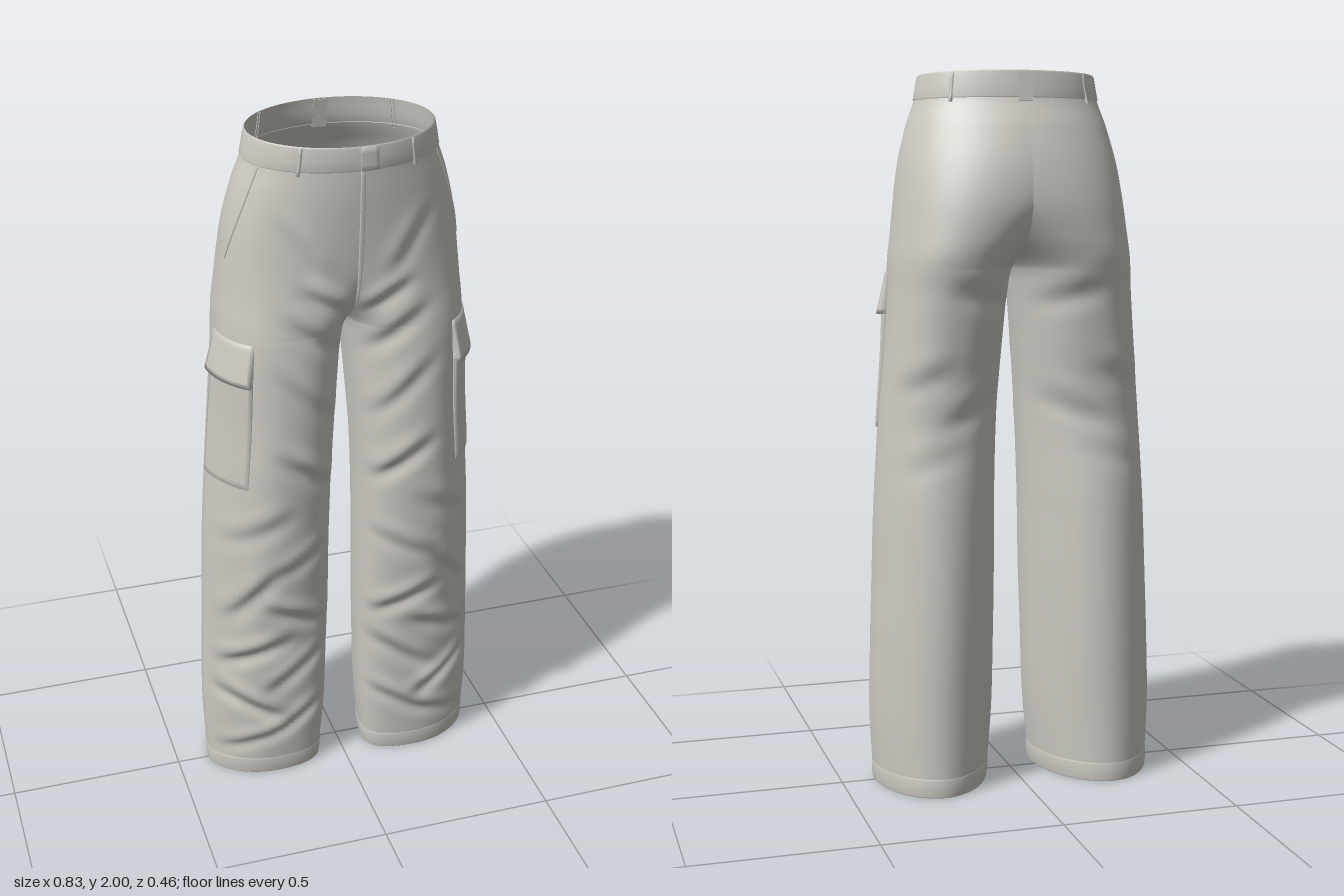
import * as THREE from 'three';

// Leg sections: height, outer x, inner x (negative = the two sides merge), front z, back z, squareness
const SECTIONS = [
  [0.00, 0.405, 0.074, 0.125, -0.210, 1.9],
  [0.20, 0.415, 0.056, 0.138, -0.206, 1.9],
  [0.40, 0.411, 0.050, 0.152, -0.203, 1.9],
  [0.60, 0.404, 0.046, 0.177, -0.195, 1.9],
  [0.80, 0.396, 0.045, 0.198, -0.180, 1.95],
  [1.05, 0.379, 0.038, 0.214, -0.152, 2.1],
  [1.25, 0.360, 0.025, 0.215, -0.172, 2.2],
  [1.40, 0.348, 0.011, 0.212, -0.190, 2.2],
  [1.46, 0.345, 0.000, 0.208, -0.203, 2.2],
  [1.50, 0.342, -0.030, 0.206, -0.214, 2.2],
  [1.55, 0.336, -0.085, 0.205, -0.222, 2.2],
  [1.65, 0.325, -0.200, 0.207, -0.228, 2.2],
  [1.75, 0.312, -0.265, 0.213, -0.215, 2.1],
  [1.85, 0.288, -0.275, 0.219, -0.183, 2.0],
  [1.93, 0.262, -0.262, 0.220, -0.145, 2.0],
  [2.00, 0.250, -0.250, 0.220, -0.134, 2.0],
];

// Cloth folds: x0, y0, x1, y1, depth, width (front first, then back)
const FRONT_FOLDS = [
  [0.03, 1.53, 0.14, 1.60, 0.010, 0.025], [0.03, 1.40, 0.18, 1.52, 0.012, 0.03],
  [0.10, 1.64, 0.19, 1.78, 0.007, 0.03], [0.05, 1.20, 0.20, 1.36, 0.010, 0.03],
  [0.06, 1.00, 0.20, 1.12, 0.016, 0.03], [0.36, 0.84, 0.20, 0.94, 0.010, 0.035],
  [0.07, 0.82, 0.22, 0.74, 0.010, 0.03], [0.36, 0.58, 0.24, 0.74, 0.016, 0.03],
  [0.08, 0.54, 0.24, 0.62, 0.016, 0.03], [0.37, 0.42, 0.20, 0.50, 0.020, 0.03],
  [0.08, 0.44, 0.24, 0.32, 0.016, 0.028], [0.38, 0.32, 0.22, 0.22, 0.020, 0.028],
  [0.09, 0.24, 0.24, 0.14, 0.016, 0.025], [0.37, 0.10, 0.22, 0.16, 0.012, 0.025],
];
const BACK_FOLDS = [
  [0.04, 1.38, 0.20, 1.42, 0.010, 0.04], [0.06, 1.12, 0.24, 1.04, 0.008, 0.04],
  [0.35, 1.14, 0.22, 1.20, 0.007, 0.04], [0.34, 0.92, 0.18, 0.98, 0.004, 0.04],
];

const INNER_SEAM_Z = 0.042;
const smooth = THREE.MathUtils.smoothstep;
const spow = (v, p) => Math.sign(v) * Math.pow(Math.abs(v), p);

// Cubic interpolation of the section table
function section(y) {
  const T = SECTIONS, last = T.length - 1;
  let i = 0;
  while (i < last - 1 && y > T[i + 1][0]) i++;
  const a = T[i], b = T[i + 1], p = T[Math.max(i - 1, 0)], q = T[Math.min(i + 2, last)];
  const h = b[0] - a[0], t = (y - a[0]) / h;
  const v = [1, 2, 3, 4, 5].map((k) => {
    const m0 = (b[k] - p[k]) / (b[0] - p[0]) * h, m1 = (q[k] - a[k]) / (q[0] - a[0]) * h;
    const t2 = t * t, t3 = t2 * t;
    return (2 * t3 - 3 * t2 + 1) * a[k] + (t3 - 2 * t2 + t) * m0 + (3 * t2 - 2 * t3) * b[k] + (t3 - t2) * m1;
  });
  const [xo, xi, zf, zb, n] = v;
  const cx = (xo + xi) / 2, hw = (xo - xi) / 2;
  // Angle at which the section meets the middle of the body
  const end = cx >= hw - 1e-7 ? Math.PI : Math.acos(-spow(cx / hw, n / 2));
  const outer = 0.015 + 0.026 * smooth(y, 1.2, 2), mid = (INNER_SEAM_Z + outer) / 2;
  const leg = 1 - smooth(y, 1.1, 1.46);
  return { cx, hw, outer, front: zf - mid, back: mid - zb, n, leg, end, merged: xi <= 1e-7 };
}

function foldDepth(x, y, list) {
  let sum = 0;
  for (const [x0, y0, x1, y1, depth, width] of list) {
    const dx = x1 - x0, dy = y1 - y0, len = Math.hypot(dx, dy);
    const along = ((x - x0) * dx + (y - y0) * dy) / (len * len);
    if (along < -0.3 || along > 1.3) continue;
    const d = (((x - x0) * dy - (y - y0) * dx) / len) * Math.sign(dx) / width;
    const taper = smooth(along, -0.3, 0.3) * (1 - smooth(along, 0.6, 1.3));
    // Valley on one side of the line, soft ridge on the other
    sum += depth * taper * (0.8 * Math.exp(-((d - 0.5) ** 2) * 1.6) - 0.6 * Math.exp(-((d + 0.9) ** 2) * 1.2));
  }
  return sum;
}

// Point on the cloth at angle a (0 = outer side, positive = front), raised by off
function clothPoint(y, a, off, s = section(y)) {
  const c = Math.cos(a), n = Math.sin(a), out = (c + 1) / 2;
  // Front of the leg: pinched towards the outer seam, fuller towards the inner one
  const front = THREE.MathUtils.lerp(2.45, 1.65, out);
  const power = 2 / (n > 0 ? THREE.MathUtils.lerp(s.n, front, s.leg) : s.n);
  let x = s.cx + s.hw * spow(c, power);
  let z = THREE.MathUtils.lerp(INNER_SEAM_Z, s.outer, out) + (n > 0 ? s.front : s.back) * spow(n, power);
  const w = smooth(Math.abs(n), 0.1, 0.6);
  z -= Math.sign(n) * w * foldDepth(x, y, n > 0 ? FRONT_FOLDS : BACK_FOLDS);
  x += c * off;
  z += n * off;
  if (s.merged && Math.abs(a) > s.end - 1e-6) x = 0;
  const dip = 0.018 * smooth(y, 1.85, 2) * (0.5 + 0.5 * n);
  return [x, y - dip, z];
}

// Grid of cloth: rows of heights, columns 0..1; point(row, column) gives the position
function grid(side, rows, cols, point) {
  const pos = [], index = [], w = cols.length;
  rows.forEach((r, j) => cols.forEach((u, i) => {
    const p = point(r, u, j, i);
    pos.push(p[0] * side, p[1], p[2]);
    if (!i || !j) return;
    const d = j * w + i, c = d - 1, b = d - w, a = b - 1;
    if (side > 0) index.push(a, b, d, a, d, c);
    else index.push(a, d, b, a, c, d);
  }));
  const g = new THREE.BufferGeometry();
  g.setAttribute('position', new THREE.Float32BufferAttribute(pos, 3));
  g.setIndex(index);
  g.computeVertexNormals();
  return g;
}

const steps = (a, b, n) => Array.from({ length: n + 1 }, (_, i) => a + (b - a) * i / n);

// Full wrap around one side; rows are [height, offset]
function wrap(side, rows, segments = 80) {
  return grid(side, rows, steps(0, 1, segments), ([y, off], u) => {
    const s = section(y);
    return clothPoint(y, s.end * (1 - 2 * u), off, s);
  });
}

// Raised panel with turned-in edges; front/back give its angles at each height
function panel(side, y0, y1, front, back, off, nu = 14, nv = 20) {
  const rows = [y0, ...steps(y0, y1, nv), y1], cols = [0, ...steps(0, 1, nu), 1];
  return grid(side, rows, cols, (y, u, j, i) => {
    const edge = i === 0 || j === 0 || i === cols.length - 1 || j === rows.length - 1;
    const t = (y - y0) / (y1 - y0), s = section(y);
    const f = front(t, s), b = back(t, s);
    return clothPoint(y, f + (b - f) * u, edge ? -0.002 : off(t), s);
  });
}

export function createModel() {
  const model = new THREE.Group();
  model.name = 'cargoTrousers';
  const fabric = new THREE.MeshStandardMaterial({ color: 0xcac8c0, side: THREE.DoubleSide });
  fabric.name = 'stone fabric';
  const add = (name, geometry) => {
    const mesh = new THREE.Mesh(geometry, fabric);
    mesh.name = name;
    model.add(mesh);
    return mesh;
  };

  for (const side of [1, -1]) {
    const tag = side > 0 ? 'left' : 'right';

    // Leg and hip cloth, hem and waistband
    add(tag + 'Leg', wrap(side, steps(0, 2, 200).map((y) => [y, 0])));
    add(tag + 'Hem', wrap(side, [[0, 0], [0.003, 0.002], [0.025, 0.003], [0.05, 0.002], [0.054, -0.001]]));
    add(tag + 'Waistband', wrap(side, [[1.925, -0.001], [1.93, 0.003], [1.96, 0.004], [1.995, 0.003], [2, 0]]));

    // Cargo pocket and its flap
    add(tag + 'CargoPocket', panel(side, 1.02, 1.36, () => 0.98, () => 0.04, (t) => 0.006 + 0.004 * t));
    add(tag + 'PocketFlap', panel(side, 1.335, 1.45, () => 0.98, () => 0.03, (t) => 0.024 - 0.02 * t, 14, 8));

    // Slanted hand pocket welt
    add(tag + 'HandPocketWelt', panel(side, 1.66, 1.925,
      (t) => 0.17 + 0.27 * t * (2 - t), (t) => 0.15 + 0.27 * t * (2 - t), () => 0.002, 2));

    // Belt loops
    for (const a of [0.95, -0.75]) {
      add(tag + 'BeltLoop', panel(side, 1.915, 1.997, () => a + 0.02, () => a - 0.02, () => 0.006, 2, 4));
    }
  }

  // Fly edge, overlapping waistband tab and centre back loop
  add('fly', panel(1, 1.55, 1.925, (t, s) => s.end, (t, s) => s.end - 0.04, () => 0.003, 3));
  add('waistTab', panel(1, 1.928, 1.998, (t, s) => s.end + 0.04, (t, s) => s.end - 0.18, () => 0.007, 5, 4));
  const loop = add('backBeltLoop', new THREE.BoxGeometry(0.04, 0.08, 0.008));
  loop.position.set(0, 1.957, -0.143);
  loop.rotation.x = 0.15;

  return model;
}
